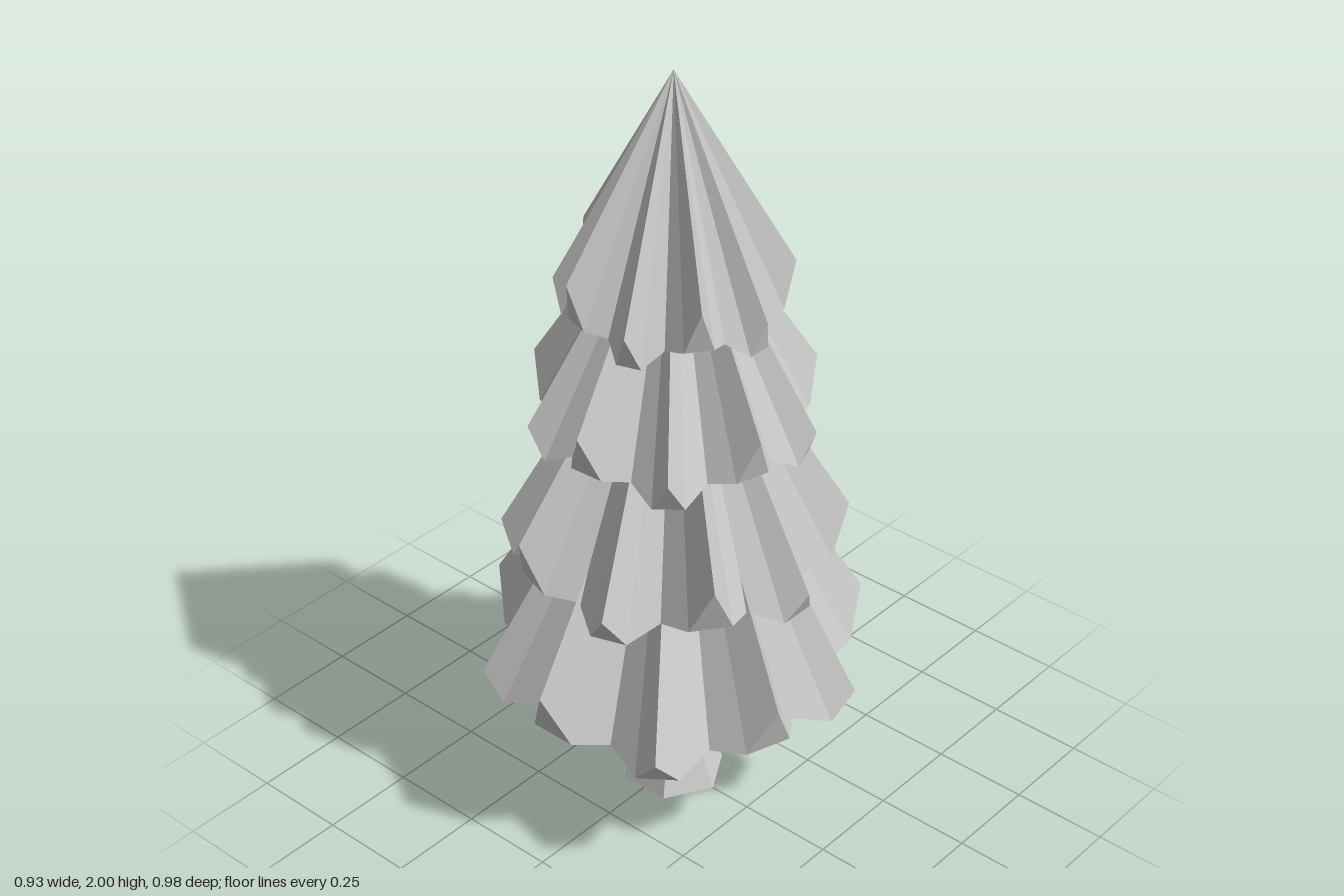
import * as THREE from 'three';

const material = new THREE.MeshStandardMaterial({ color: 0xcccccc, flatShading: true });
const LOBES = 10;
const STEP = (Math.PI * 2) / LOBES;
const rad = THREE.MathUtils.degToRad;

// One tier of branches: a faceted cone whose rim has alternating high and low lobes
function tierGeometry({ radius, apex, bottom, high, low, turn }) {
  const at = (angle, r, y) => [Math.sin(angle) * r, y, Math.cos(angle) * r];
  const top = [0, apex, 0];
  const under = [0, bottom + 0.09, 0];
  const positions = [];
  const tri = (a, b, c) => positions.push(...a, ...b, ...c);

  const lobe = (i) => {
    const angle = rad(turn) + i * STEP;
    const raised = i % 2 === 0;
    const spread = rad(raised ? 7.8 : 6.8);
    const shoulderY = bottom + (raised ? 0.05 : 0);
    return {
      tip: at(angle, radius, raised ? high : low),
      left: at(angle - spread, radius * 0.925, shoulderY),
      right: at(angle + spread, radius * 0.925, shoulderY),
      valley: at(angle + STEP / 2, radius * 0.8, bottom + 0.035),
    };
  };

  for (let i = 0; i < LOBES; i++) {
    const { tip, left, right, valley } = lobe(i);
    const next = lobe((i + 1) % LOBES);
    // upper slopes either side of the valley
    tri(top, tip, right);
    tri(top, right, valley);
    tri(top, valley, next.left);
    tri(top, next.left, next.tip);
    // bevelled lobe end
    tri(tip, left, right);
    // hollow underside
    tri(under, right, left);
    tri(under, valley, right);
    tri(under, next.left, valley);
  }

  const geometry = new THREE.BufferGeometry();
  geometry.setAttribute('position', new THREE.Float32BufferAttribute(positions, 3));
  geometry.computeVertexNormals();
  return geometry;
}

export function createModel() {
  const model = new THREE.Group();
  model.name = 'pineTree';

  // Six-sided trunk with a flared foot
  const profile = [[0, 0], [0.135, 0], [0.08, 0.14], [0.072, 0.5]].map(([r, y]) => new THREE.Vector2(r, y));
  const trunk = new THREE.Mesh(new THREE.LatheGeometry(profile, 6, Math.PI / 2), material);
  trunk.name = 'trunk';
  model.add(trunk);

  // Four stacked tiers, each turned against the one below
  const tiers = [
    { name: 'bottomBranches', radius: 0.49, apex: 1.3, bottom: 0.33, high: 0.51, low: 0.4, turn: 0 },
    { name: 'lowerBranches', radius: 0.43, apex: 1.53, bottom: 0.685, high: 0.86, low: 0.76, turn: -18 },
    { name: 'upperBranches', radius: 0.36, apex: 1.76, bottom: 1.04, high: 1.2, low: 1.12, turn: 3 },
    { name: 'topBranches', radius: 0.285, apex: 2, bottom: 1.37, high: 1.53, low: 1.455, turn: -18 },
  ];
  for (const tier of tiers) {
    const mesh = new THREE.Mesh(tierGeometry(tier), material);
    mesh.name = tier.name;
    model.add(mesh);
  }
  return model;
}
